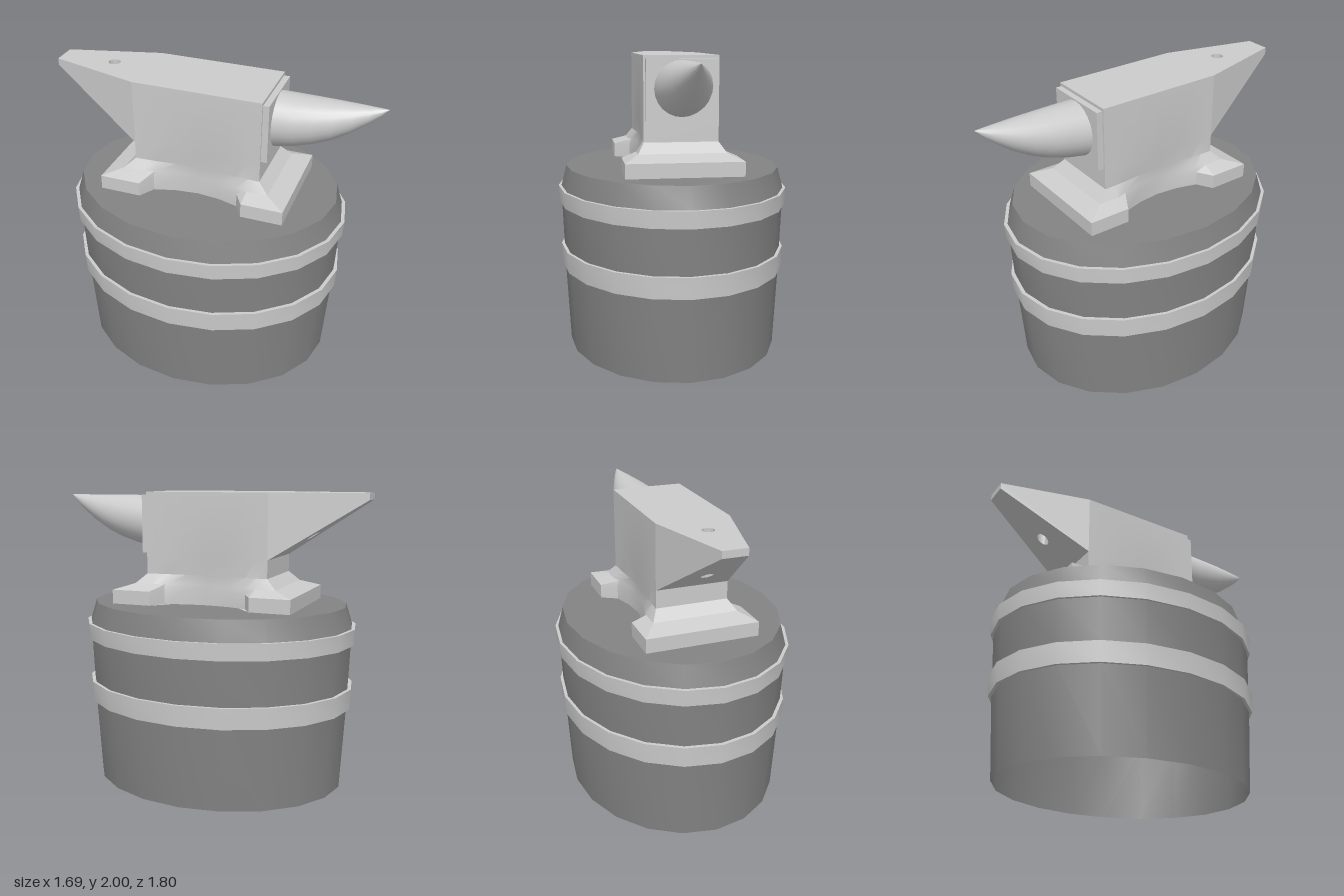
import * as THREE from 'three';
import { toCreasedNormals, mergeVertices } from 'three/addons/utils/BufferGeometryUtils.js';

const steel = new THREE.MeshStandardMaterial({ color: 0xcccccc, side: THREE.DoubleSide });
const wood = new THREE.MeshStandardMaterial({ color: 0x838383, side: THREE.DoubleSide });

function add(parent, name, geometry, material, crease = 0.5) {
  const mesh = new THREE.Mesh(toCreasedNormals(geometry, crease), material);
  mesh.name = name;
  parent.add(mesh);
  return mesh;
}

// Skin a list of rings (arrays of [x, y, z], same length) and cap both ends
function loft(rings) {
  const n = rings[0].length;
  const pos = rings.flat(2);
  const index = [];
  for (let i = 0; i < rings.length - 1; i++) {
    for (let j = 0; j < n; j++) {
      const a = i * n + j, b = i * n + (j + 1) % n;
      index.push(a, b, b + n, a, b + n, a + n);
    }
  }
  [0, rings.length - 1].forEach((r) => {
    const centre = pos.length / 3;
    const mid = [0, 1, 2].map((k) => rings[r].reduce((s, p) => s + p[k], 0) / n);
    pos.push(...mid);
    for (let j = 0; j < n; j++) {
      const a = r * n + j, b = r * n + (j + 1) % n;
      if (r === 0) index.push(centre, b, a);
      else index.push(centre, a, b);
    }
  });
  const g = new THREE.BufferGeometry();
  g.setAttribute('position', new THREE.Float32BufferAttribute(pos, 3));
  g.setIndex(index);
  return g;
}

// Mirror a quarter outline (end corner to waist) into a full ring at height y
function mirroredRing(quarter, y) {
  const back = quarter.slice(0, -1).reverse();
  const right = [...quarter, ...back.map(([x, z]) => [x, -z])];
  const left = right.map(([x, z]) => [-x, -z]);
  return [...right, ...left].map(([x, z]) => [x, y, z]);
}

// Oval twenty-sided tub, made of stacked bands
function createBarrel() {
  const barrel = new THREE.Group();
  barrel.name = 'barrel';
  const band = (name, material, profile) => {
    const pts = profile.map(([r, y]) => new THREE.Vector2(r, y));
    add(barrel, name, new THREE.LatheGeometry(pts, 20).scale(0.782, 1, 0.96), material);
  };
  band('lowerStaves', wood, [[0.92, 0], [0.955, 0.56]]);
  band('lowerHoop', steel, [[0.955, 0.56], [0.978, 0.56], [0.986, 0.7], [0.96, 0.7]]);
  band('upperStaves', wood, [[0.96, 0.7], [0.973, 1]]);
  band('upperHoop', steel, [[0.973, 1], [0.993, 1], [1, 1.11], [0.975, 1.11]]);
  band('rim', wood, [[0.975, 1.11], [0.928, 1.25]]);
  band('lid', wood, [[0.928, 1.25], [0, 1.25]]);
  barrel.position.set(0.006, 0, -0.0115);
  return barrel;
}

function createAnvil() {
  const anvil = new THREE.Group();
  anvil.name = 'anvil';

  // Four-footed base with hollowed sides, rising into the block
  const foot = [[0.38, 0.628], [0.38, 0.352], [0.275, 0.29], [0.235, 0.15], [0.22, 0]];
  const shoulder = [[0.285, 0.5], [0.285, 0.36], [0.262, 0.29], [0.23, 0.15], [0.22, 0]];
  const waist = [[0.243, 0.43], [0.241, 0.35], [0.237, 0.28], [0.226, 0.15], [0.22, 0]];
  const block = [[0.243, 0.43], [0.243, 0.35], [0.243, 0.28], [0.243, 0.15], [0.243, 0]];
  add(anvil, 'baseAndBlock', loft([
    mirroredRing(foot, 1.25), mirroredRing(foot, 1.345), mirroredRing(shoulder, 1.385),
    mirroredRing(waist, 1.45), mirroredRing(block, 1.57), mirroredRing(block, 2),
  ]), steel, 0.4);

  // Tapered heel with a punched hole; its underside slopes up to the tip
  const plan = new THREE.Shape([[-0.243, 0.43], [0.243, 0.43], [0.081, 1.042], [-0.081, 1.042]]
    .map(([x, y]) => new THREE.Vector2(x, y)));
  const hole = new THREE.Path();
  hole.absarc(0, 0.665, 0.04, 0, Math.PI * 2, true);
  plan.holes.push(hole);
  const heel = new THREE.ExtrudeGeometry(plan, { depth: 1, bevelEnabled: false, curveSegments: 8 });
  heel.rotateX(-Math.PI / 2);
  const p = heel.attributes.position;
  for (let i = 0; i < p.count; i++) {
    const t = (-p.getZ(i) - 0.43) / 0.612;
    p.setY(i, p.getY(i) > 0.5 ? 2 : THREE.MathUtils.lerp(1.57, 1.955, t));
  }
  add(anvil, 'heel', heel, steel, 0.3);

  // Plate between block and horn
  const plate = new THREE.BoxGeometry(0.46, 0.39, 0.06);
  plate.translate(0, 1.785, 0.44);
  add(anvil, 'hornPlate', plate, steel);

  // Horn: round sections shrinking towards a tip level with the face
  const sections = [[0.46, 0.18], [0.6, 0.167], [0.72, 0.149], [0.83, 0.125],
    [0.94, 0.092], [1.04, 0.054], [1.11, 0.023], [1.147, 0.002]];
  const horn = loft(sections.map(([z, r]) => Array.from({ length: 24 }, (_, j) => {
    const a = (j / 24) * Math.PI * 2;
    return [r * Math.cos(a), 1.972 - r + r * Math.sin(a), z];
  })));
  add(anvil, 'horn', mergeVertices(horn), steel, 0.7);

  anvil.position.set(0.015, 0, -0.012);
  return anvil;
}

export function createModel() {
  const model = new THREE.Group();
  model.name = 'anvilOnBarrel';
  const turned = new THREE.Group();
  turned.name = 'turnedAssembly';
  turned.rotation.y = 0.662;
  turned.add(createBarrel(), createAnvil());
  model.add(turned);
  return model;
}
